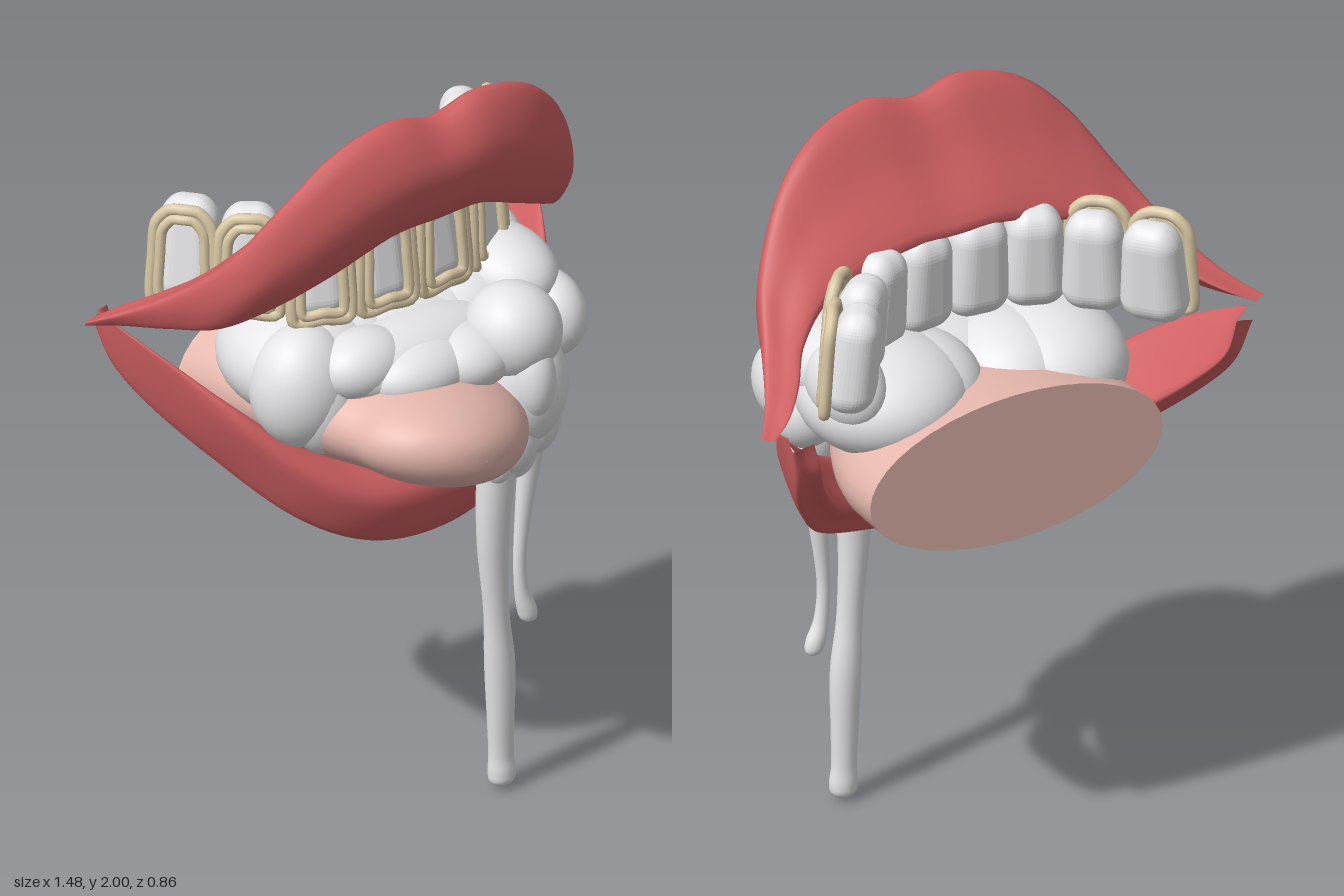
import * as THREE from 'three';
import { RoundedBoxGeometry } from 'three/addons/geometries/RoundedBoxGeometry.js';

const V = (x, y, z) => new THREE.Vector3(x, y, z);
const paint = (name, color) => {
  const m = new THREE.MeshStandardMaterial({ color });
  m.name = name;
  return m;
};

// Skin a list of closed rings (equal point counts); optional flat cap on the first ring.
function loft(rings, capStart = false) {
  const n = rings[0].length, pos = [], idx = [];
  rings.forEach(r => r.forEach(p => pos.push(p.x, p.y, p.z)));
  for (let i = 0; i < rings.length - 1; i++) {
    for (let j = 0; j < n; j++) {
      const a = i * n + j, b = i * n + (j + 1) % n;
      idx.push(a, b, a + n, b, b + n, a + n);
    }
  }
  if (capStart) {
    const c = pos.length / 3;
    const mid = rings[0].reduce((s, p) => s.add(p), V(0, 0, 0)).divideScalar(n);
    pos.push(mid.x, mid.y, mid.z);
    rings[0].forEach(p => pos.push(p.x, p.y, p.z));
    for (let j = 0; j < n; j++) idx.push(c, c + 1 + (j + 1) % n, c + 1 + j);
  }
  // Signed volume tells whether the skin faces outwards.
  const at = i => V(pos[3 * i], pos[3 * i + 1], pos[3 * i + 2]);
  let vol = 0;
  for (let i = 0; i < idx.length; i += 3) vol += at(idx[i]).dot(at(idx[i + 1]).cross(at(idx[i + 2])));
  if (vol < 0) idx.reverse();
  const g = new THREE.BufferGeometry();
  g.setAttribute('position', new THREE.Float32BufferAttribute(pos, 3));
  g.setIndex(idx);
  g.computeVertexNormals();
  return g;
}

// Lip from half-stations [x, [y, z] of crest, front, edge, back], mirrored across x = 0.
// The back rail is drawn inwards so the sides of the lip keep their thickness.
function lipGeometry(half, inset) {
  const full = [...half.slice(1).reverse().map(([x, ...s]) => [-x, ...s]), ...half];
  const rails = [1, 1, 1, inset].map((f, k) => new THREE.CatmullRomCurve3(
    full.map(s => V(s[0] * f, ...s[k + 1])), false, 'catmullrom', 0.5));
  const rings = [];
  for (let i = 0; i <= 80; i++) {
    const [top, front, edge, back] = rails.map(r => r.getPoint(i / 80));
    const section = new THREE.CatmullRomCurve3([
      top, front, edge, edge.clone().lerp(back, 0.5), back, back.clone().lerp(top, 0.5)], true, 'catmullrom', 0.5);
    rings.push(section.getPoints(30).slice(0, 30));
  }
  return loft(rings);
}

// Elliptical sections threaded along smooth rails: [centre, half width, half height]
function ellipseRings(stations, axis, steps, sides, tilt = 0) {
  const mid = new THREE.CatmullRomCurve3(stations.map(s => V(...s[0])), false, 'catmullrom', 0.5);
  const size = new THREE.CatmullRomCurve3(stations.map(s => V(s[1], s[2], 0)), false, 'catmullrom', 0.5);
  const rings = [];
  for (let i = 0; i <= steps; i++) {
    const c = mid.getPoint(i / steps), r = size.getPoint(i / steps), ring = [];
    for (let j = 0; j < sides; j++) {
      const a = j / sides * Math.PI * 2;
      const u = Math.max(r.x, 0.0005) * Math.cos(a), v = Math.max(r.y, 0.0005) * Math.sin(a);
      ring.push(axis === 'z'
        ? V(c.x + u, c.y + v - u * tilt * i / steps, c.z)
        : V(c.x + u, c.y, c.z + v));
    }
    rings.push(ring);
  }
  return rings;
}

export function createModel() {
  const model = new THREE.Group();
  const lipRed = paint('lip red', 0xd06062);
  const tonguePink = paint('tongue pink', 0xe5b7ad);
  const white = paint('tooth and foam white', 0xe8e8ea);
  const gold = paint('pale gold', 0xdac9a6);
  const add = (name, geo, mat, parent = model) => {
    const m = new THREE.Mesh(geo, mat);
    m.name = name;
    parent.add(m);
    return m;
  };

  // Lips
  add('upperLip', lipGeometry([
    [0, [1.965, 0.1], [1.85, 0.187], [1.68, 0.125], [1.68, -0.115]],
    [0.14, [1.998, 0.105], [1.85, 0.182], [1.675, 0.12], [1.68, -0.115]],
    [0.3, [1.95, 0.09], [1.79, 0.148], [1.6, 0.08], [1.65, -0.12]],
    [0.425, [1.835, 0.055], [1.69, 0.085], [1.525, 0.015], [1.61, -0.14]],
    [0.53, [1.67, -0.03], [1.57, -0.01], [1.455, -0.08], [1.54, -0.2]],
    [0.6, [1.55, -0.155], [1.495, -0.15], [1.425, -0.2], [1.48, -0.285]],
    [0.67, [1.465, -0.28], [1.445, -0.28], [1.41, -0.31], [1.44, -0.35]],
    [0.737, [1.415, -0.37], [1.41, -0.37], [1.405, -0.375], [1.41, -0.385]],
  ], 0.96), lipRed);
  add('lowerLip', lipGeometry([
    [0, [1.0, 0.08], [0.92, 0.15], [0.775, 0.1], [0.89, 0.01]],
    [0.2, [1.02, 0.06], [0.94, 0.135], [0.805, 0.08], [0.91, -0.01]],
    [0.36, [1.1, 0.005], [1.02, 0.065], [0.89, -0.01], [0.98, -0.1]],
    [0.495, [1.22, -0.09], [1.15, -0.06], [1.035, -0.17], [1.11, -0.24]],
    [0.59, [1.32, -0.22], [1.28, -0.21], [1.16, -0.295], [1.22, -0.35]],
    [0.645, [1.38, -0.33], [1.355, -0.32], [1.265, -0.38], [1.31, -0.42]],
    [0.675, [1.415, -0.4], [1.405, -0.4], [1.385, -0.42], [1.4, -0.43]],
  ], 0.92), lipRed);

  // Tongue, cut flat at the back, with an elliptical tip
  const tip = [0, 15, 30, 45, 60, 72, 82, 90].map(d => {
    const a = d * Math.PI / 180, c = Math.cos(a);
    return [[-0.07 - 0.015 * Math.sin(a), 1.145, 0.18 + 0.25 * Math.sin(a)], 0.256 * c, 0.135 * Math.pow(c, 0.8)];
  });
  add('tongue', loft(ellipseRings([
    [[0, 1.14, -0.388], 0.43, 0.205],
    [[0, 1.14, -0.22], 0.41, 0.2],
    [[-0.02, 1.14, -0.05], 0.36, 0.175],
    [[-0.055, 1.145, 0.09], 0.295, 0.15],
    ...tip,
  ], 'z', 66, 40, 0.26), true), tonguePink);

  // Upper teeth, each with a doubled wire frame on its face
  const teeth = new THREE.Group();
  teeth.name = 'upperTeeth';
  model.add(teeth);
  const frameCurve = (w, h) => new THREE.CatmullRomCurve3([
    V(-w, -h, 0), V(0, -h, 0.006), V(w, -h, 0), V(w, 0, 0), V(w * 0.92, h * 0.65, 0), V(w * 0.5, h * 0.96, 0),
    V(0, h, 0.004), V(-w * 0.5, h * 0.96, 0), V(-w * 0.92, h * 0.65, 0), V(-w, 0, 0)], true, 'catmullrom', 0.4);
  // [x, z, turn, width]
  const spots = [[0.083, -0.045, 0.1, 0.165], [0.237, -0.08, 0.4, 0.16],
    [0.35, -0.195, 0.72, 0.165], [0.445, -0.325, 0.9, 0.17]];
  for (const side of [-1, 1]) {
    for (const [x, z, turn, w] of spots) {
      const unit = new THREE.Group();
      unit.name = 'toothUnit';
      unit.position.set(side * x, 1.55, z);
      unit.rotation.set(-0.06, side * turn, 0, 'YXZ');
      const depth = x < 0.3 ? 0.16 : 0.13;
      const geo = new RoundedBoxGeometry(w, 0.28, depth, 6, 0.06);
      // Narrow the root end and lean it back
      const p = geo.attributes.position;
      for (let i = 0; i < p.count; i++) {
        const t = (p.getY(i) + 0.14) / 0.28;
        p.setX(i, p.getX(i) * (1.04 - 0.24 * t * t));
        p.setZ(i, p.getZ(i) * (1 - 0.2 * t * t) - 0.015 * t);
      }
      geo.computeVertexNormals();
      add('tooth', geo, white, unit);
      const front = depth / 2 - 0.002;
      const outer = add('outerFrame', new THREE.TubeGeometry(frameCurve(w * 0.46, 0.13), 64, 0.016, 8, true), gold, unit);
      outer.position.z = front - 0.01;
      const inner = add('innerFrame', new THREE.TubeGeometry(frameCurve(w * 0.46 - 0.02, 0.108), 64, 0.014, 8, true), gold, unit);
      inner.position.z = front;
      teeth.add(unit);
    }
  }

  // Foam over the tongue: [x, y, z, rx, ry, rz]
  const foam = new THREE.Group();
  foam.name = 'foam';
  model.add(foam);
  const ball = new THREE.SphereGeometry(1, 32, 24);
  [
    [-0.25, 1.27, -0.12, 0.2, 0.15, 0.235], [0.23, 1.3, -0.12, 0.22, 0.15, 0.235],
    [-0.14, 1.28, -0.11, 0.17, 0.13, 0.2], [0.13, 1.29, -0.11, 0.17, 0.135, 0.2],
    [0, 1.28, -0.03, 0.26, 0.115, 0.155], [-0.32, 1.25, -0.02, 0.14, 0.165, 0.13],
    [-0.29, 1.21, 0.03, 0.1, 0.14, 0.09], [-0.04, 1.29, 0.07, 0.28, 0.1, 0.13],
    [-0.2, 1.31, 0.07, 0.13, 0.09, 0.1], [-0.07, 1.28, 0.13, 0.16, 0.085, 0.115],
    [0.06, 1.28, 0.15, 0.13, 0.085, 0.12],
    [0.19, 1.32, 0.18, 0.125, 0.125, 0.13], [0.31, 1.37, -0.03, 0.13, 0.105, 0.18],
    [0.36, 1.37, -0.16, 0.09, 0.11, 0.14], [0.37, 1.27, 0.09, 0.09, 0.115, 0.12],
    [0.37, 1.22, 0.03, 0.095, 0.1, 0.1], [0.21, 1.17, 0.21, 0.11, 0.16, 0.1],
    [0.19, 1.21, 0.26, 0.06, 0.11, 0.065], [0.25, 1.08, 0.18, 0.075, 0.13, 0.085],
    [0.17, 1.04, 0.2, 0.07, 0.11, 0.075], [0.13, 0.96, 0.18, 0.045, 0.06, 0.055],
    [0.2, 0.98, 0.17, 0.065, 0.09, 0.06], [0.28, 1.03, 0.16, 0.04, 0.1, 0.05],
  ].forEach(([x, y, z, a, b, c]) => {
    const m = add('foamBlob', ball, white, foam);
    m.position.set(x, y, z);
    m.scale.set(a, b, c);
  });

  // Hanging drips, from inside the foam down to a rounded end
  const drip = (name, pts) => add(name, loft(ellipseRings(
    pts.map(([x, y, z, r]) => [[x, y, z], r, r * 0.85]), 'y', 60, 18)), white);
  drip('longDrip', [
    [0.165, 1.1, 0.18, 0], [0.16, 1.06, 0.18, 0.06], [0.14, 0.9, 0.175, 0.052], [0.135, 0.72, 0.17, 0.043],
    [0.15, 0.52, 0.165, 0.035], [0.165, 0.36, 0.16, 0.042], [0.17, 0.2, 0.157, 0.037], [0.173, 0.1, 0.155, 0.034],
    [0.175, 0.05, 0.155, 0.038], [0.175, 0.02, 0.155, 0.032], [0.175, 0, 0.155, 0]]);
  drip('shortDrip', [
    [0.27, 1.1, 0.16, 0], [0.27, 1.06, 0.16, 0.045], [0.265, 0.92, 0.155, 0.034], [0.25, 0.78, 0.15, 0.024],
    [0.238, 0.64, 0.148, 0.018], [0.245, 0.54, 0.146, 0.02], [0.262, 0.48, 0.145, 0.027], [0.268, 0.45, 0.145, 0.022],
    [0.27, 0.435, 0.145, 0]]);

  return model;
}
